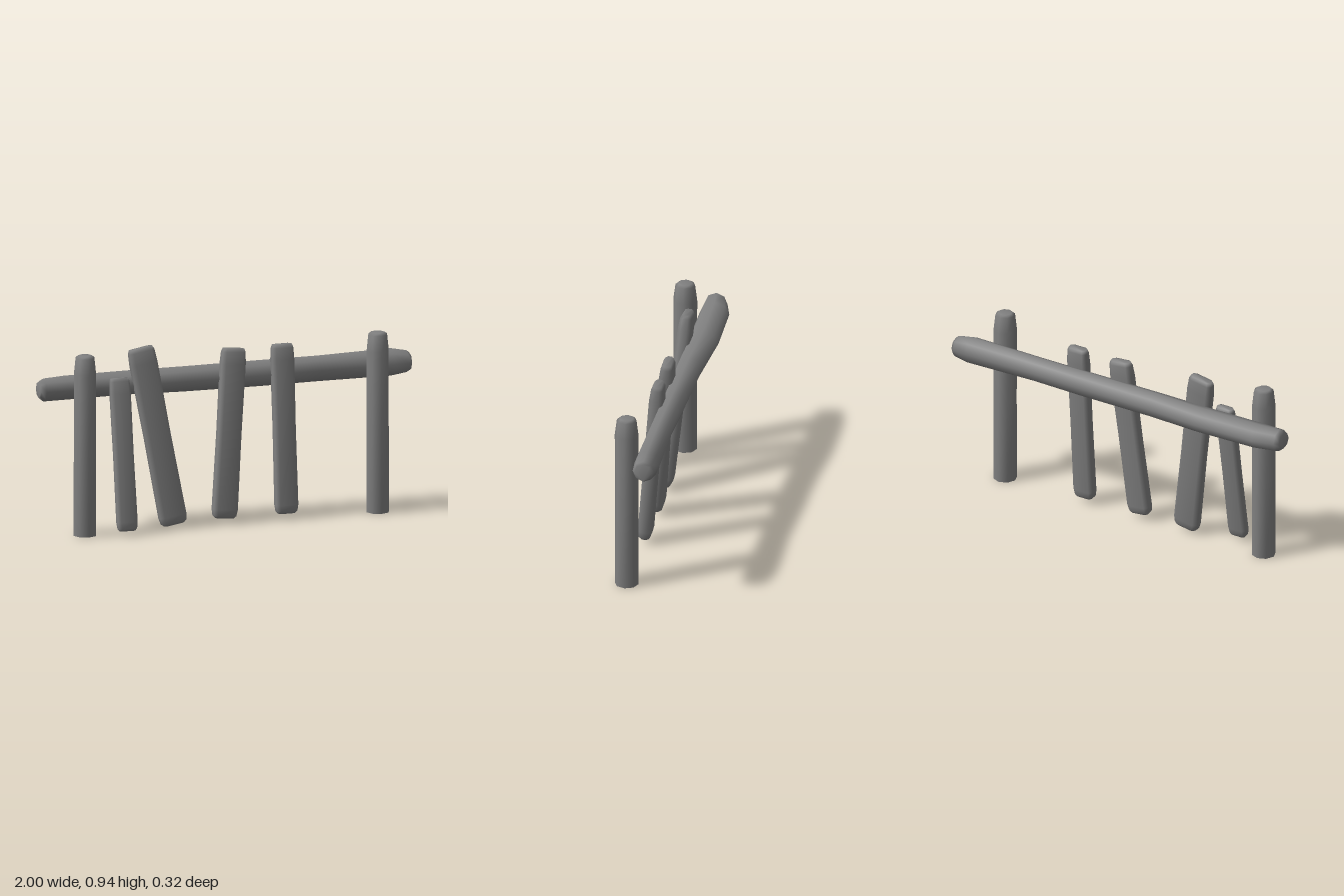
import * as THREE from 'three';

// Double sided because the posts are hollow underneath
const material = new THREE.MeshStandardMaterial({ color: 0x808080, side: THREE.DoubleSide });

// Outlines run counter-clockwise seen from the end of the log
const octagon = Array.from({ length: 8 }, (_, i) => {
  const a = (i / 8) * Math.PI * 2;
  return [Math.cos(a), Math.sin(a)];
});
const flatOval = [
  [1, -0.5], [1, 0.5], [0.72, 1], [-0.72, 1],
  [-1, 0.5], [-1, -0.5], [-0.72, -1], [0.72, -1],
];

// Loft an outline along +y; each section is [height, centreX, centreZ, halfWidth, halfDepth]
function loft(outline, sections, closedStart = true) {
  const n = outline.length;
  const pos = [];
  const index = [];
  for (const [y, cx, cz, rx, rz] of sections) {
    for (const [u, v] of outline) pos.push(cx + u * rx, y, cz - v * rz);
  }
  for (let s = 0; s < sections.length - 1; s++) {
    for (let i = 0; i < n; i++) {
      const a = s * n + i;
      const b = s * n + ((i + 1) % n);
      index.push(a, b, b + n, a, b + n, a + n);
    }
  }
  const last = (sections.length - 1) * n;
  for (let i = 1; i < n - 1; i++) {
    if (closedStart) index.push(0, i + 1, i);
    index.push(last, last + i, last + i + 1);
  }
  const geometry = new THREE.BufferGeometry();
  geometry.setAttribute('position', new THREE.Float32BufferAttribute(pos, 3));
  geometry.setIndex(index);
  geometry.computeVertexNormals();
  return geometry;
}

function addMesh(group, name, geometry) {
  const mesh = new THREE.Mesh(geometry, material);
  mesh.name = name;
  group.add(mesh);
  return mesh;
}

// Board standing between the centres of its two ends, with rounded ends
function addPlank(group, name, bottom, top, w, d) {
  const from = new THREE.Vector3(...bottom);
  const axis = new THREE.Vector3(...top).sub(from);
  const len = axis.length();
  const geometry = loft(flatOval, [
    [0, 0, 0, w * 0.74, d * 0.6],
    [0.012, 0, 0, w * 0.92, d * 0.85],
    [0.045, 0, 0, w, d],
    [len * 0.5, 0, 0, w * 0.96, d],
    [len - 0.08, 0, 0, w, d],
    [len - 0.018, 0, 0, w * 0.95, d * 0.84],
    [len, 0, 0, w * 0.85, d * 0.6],
  ]);
  const mesh = addMesh(group, name, geometry);
  mesh.position.copy(from);
  mesh.quaternion.setFromUnitVectors(new THREE.Vector3(0, 1, 0), axis.normalize());
}

export function createModel() {
  const group = new THREE.Group();
  group.name = 'logFence';

  // Upright end posts, open at the foot
  const post = loft(octagon, [
    [0, 0, 0, 0.061, 0.061],
    [0.45, 0, 0, 0.06, 0.06],
    [0.84, 0, 0, 0.06, 0.062],
    [0.925, 0, 0, 0.051, 0.051],
    [0.936, 0, 0, 0.036, 0.036],
  ], false);
  for (const [name, x] of [['rightPost', -0.795], ['leftPost', 0.785]]) {
    addMesh(group, name, post).position.set(x, 0, 0.061);
  }

  // Long uneven rail: [x, centreY, centreZ, halfHeight, halfDepth]
  const railSections = [
    [-1, 0.745, -0.062, 0.042, 0.044],
    [-0.975, 0.743, -0.065, 0.06, 0.058],
    [-0.86, 0.743, -0.078, 0.063, 0.076],
    [-0.52, 0.743, -0.083, 0.063, 0.08],
    [-0.22, 0.741, -0.07, 0.066, 0.068],
    [0.2, 0.74, -0.067, 0.068, 0.063],
    [0.5, 0.741, -0.063, 0.067, 0.059],
    [0.9, 0.743, -0.067, 0.072, 0.066],
    [0.985, 0.741, -0.064, 0.057, 0.056],
    [1, 0.741, -0.064, 0.045, 0.045],
  ];
  const rail = loft(octagon, railSections.map(([x, y, z, ry, rz]) => [x, -y, z, ry, rz]));
  rail.rotateZ(-Math.PI / 2);
  addMesh(group, 'rail', rail);

  // Loose planks leaning on the rail
  addPlank(group, 'shortPlank', [-0.593, 0.022, 0.138], [-0.592, 0.793, 0.012], 0.053, 0.029);
  addPlank(group, 'widePlank', [-0.318, 0.022, 0.071], [-0.468, 0.934, -0.015], 0.071, 0.034);
  addPlank(group, 'tiltedPlank', [-0.043, 0.03, 0.061], [0.032, 0.895, -0.009], 0.065, 0.035);
  addPlank(group, 'straightPlank', [0.294, 0.029, 0.059], [0.293, 0.897, -0.009], 0.059, 0.035);

  return group;
}
